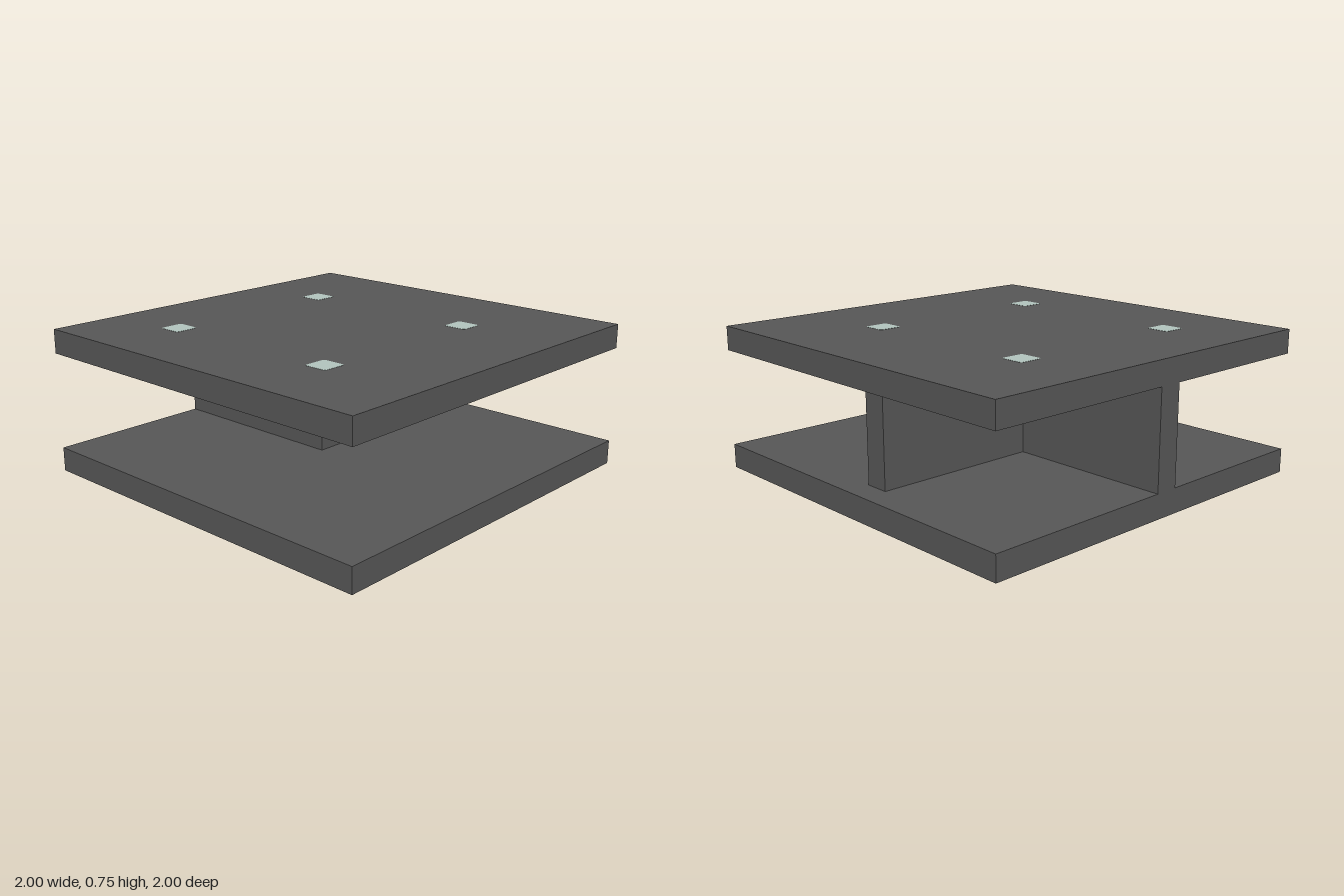
import * as THREE from 'three';

const T = 0.125; // common thickness of slabs and walls

export function createModel() {
  const model = new THREE.Group();
  const darkGrey = new THREE.MeshStandardMaterial({ name: 'darkGrey', color: 0x555555 });
  const paleGreen = new THREE.MeshStandardMaterial({ name: 'paleGreen', color: 0xb0c2bb });

  // Box given by its lower and upper corners
  const block = (name, [x0, y0, z0], [x1, y1, z1]) => {
    const mesh = new THREE.Mesh(new THREE.BoxGeometry(x1 - x0, y1 - y0, z1 - z0), darkGrey);
    mesh.name = name;
    mesh.position.set((x0 + x1) / 2, (y0 + y1) / 2, (z0 + z1) / 2);
    model.add(mesh);
  };

  // Floor and roof slabs
  block('floorSlab', [-1, 0, -1], [1, T, 1]);
  block('roofSlab', [-1, 0.625, -1], [1, 0.75, 1]);

  // L-shaped support: a cross wall and a wall running to the back edge
  block('crossWall', [-T, T, -T], [0.875, 0.625, 0]);
  block('backWall', [-T, T, -1], [0, 0.625, -T]);

  // Rounded square light panel, lying flat
  const h = T / 2, r = 0.015, thin = 0.002;
  const square = new THREE.Shape();
  [[1, 1, 0], [-1, 1, 1], [-1, -1, 2], [1, -1, 3]].forEach(([sx, sy, i]) =>
    square.absarc(sx * (h - r), sy * (h - r), r, i * Math.PI / 2, (i + 1) * Math.PI / 2, false));
  const panelGeometry = new THREE.ExtrudeGeometry(square, { depth: thin, bevelEnabled: false, curveSegments: 3 });
  panelGeometry.translate(0, 0, -thin / 2).rotateX(-Math.PI / 2);

  // Four lights, showing on both faces of the roof
  for (const x of [-0.5625, 0.4375]) {
    for (const z of [-0.5625, 0.4375]) {
      for (const [name, y] of [['roofLightTop', 0.75], ['roofLightUnderside', 0.625]]) {
        const panel = new THREE.Mesh(panelGeometry, paleGreen);
        panel.name = name;
        panel.position.set(x, y, z);
        model.add(panel);
      }
    }
  }
  return model;
}
